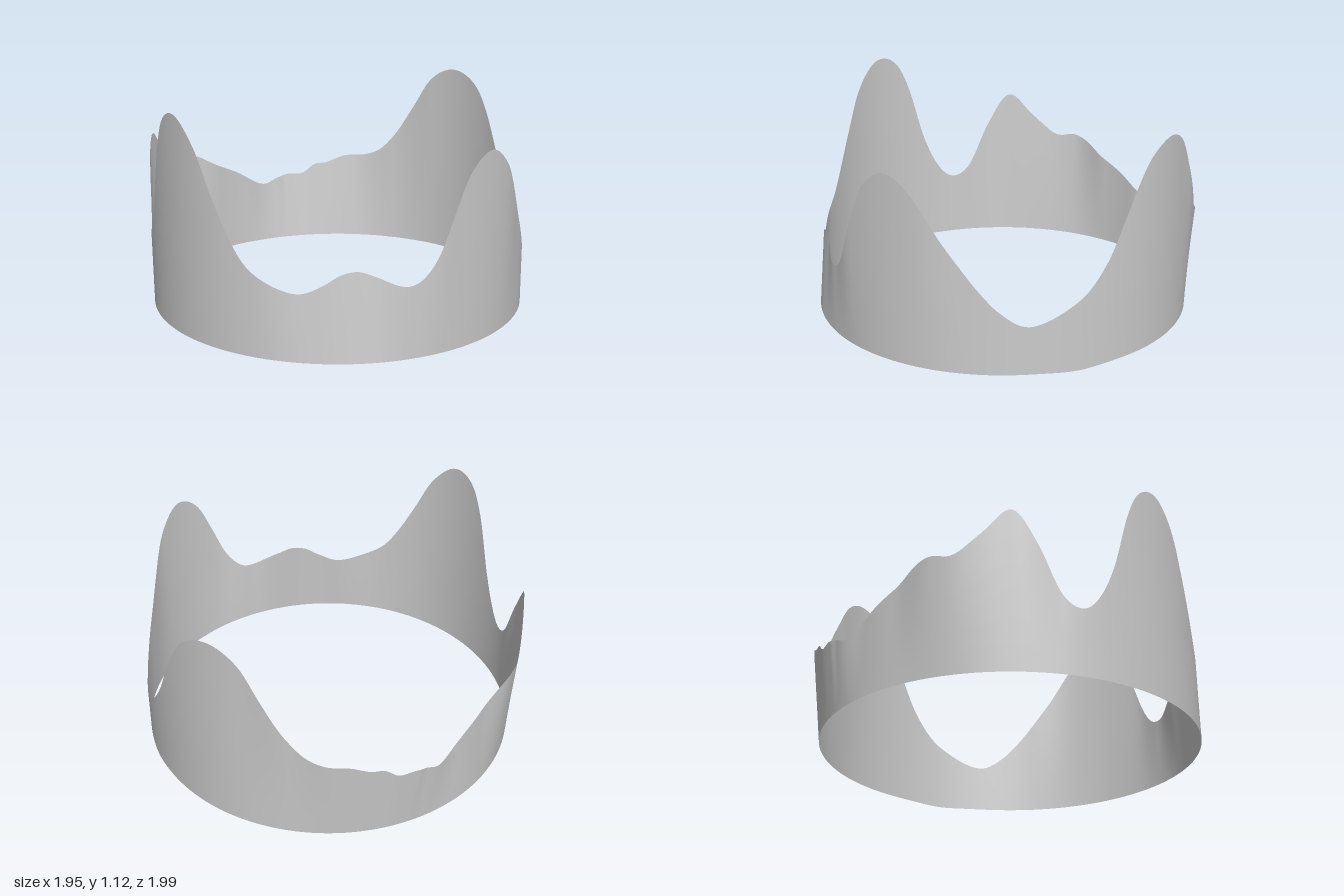
import * as THREE from 'three';

// Rim profile: [degrees around from the front toward +x, height]
const RIM = [
  [-180, .37], [-175, .345], [-164, .45], [-155, .525], [-149, .585], [-144, .61], [-138, .6],
  [-130, .71], [-122, .83], [-115, .66], [-108, .41], [-102, .355], [-97, .43], [-92, .61],
  [-86.5, .92], [-82, 1.07], [-74, 1.12], [-65, .98], [-59, .78], [-53, .59], [-48, .47],
  [-41, .39], [-32, .345], [-25, .39], [-20, .44], [-15, .455], [-10, .43], [-1, .375],
  [3.5, .4], [8, .5], [13, .7], [18, .875], [26.5, .975], [35, .885], [44, .655], [54, .43],
  [60, .325], [67.5, .258], [81, .35], [86, .42], [92, .56], [97, .73], [102, .89], [107, 1],
  [117, 1.067], [126, .99], [132.5, .82], [139, .645], [144.5, .54], [150, .497], [157, .485],
  [163, .445], [167, .435], [171, .385], [176, .385], [180, .37],
];

// How far the rim leans out (+) or in (-): [degrees, offset]
const LEAN = [
  [-180, .035], [-168, .005], [-157, .005], [-144, .05], [-122, .035], [-108, .005], [-75, 0],
  [-45, -.005], [-28, -.03], [-13, -.043], [0, -.005], [12, .02], [35, .02], [50, 0], [125, .005],
  [140, .025], [154, .05], [166, .045], [177, .045], [180, .035],
];

const RADIUS = .97, CENTER_Z = .02, STEPS = 440, ROWS = 6;

function leanAt(deg) {
  const i = Math.max(1, LEAN.findIndex(p => p[0] >= deg));
  const [a, u] = LEAN[i - 1], [b, v] = LEAN[i];
  return u + (v - u) * THREE.MathUtils.smoothstep(deg, a, b);
}

// Closed thin band whose upper edge follows the rim profile
function bandGeometry() {
  const rim = new THREE.CatmullRomCurve3(RIM.map(([a, h]) => new THREE.Vector3(a, h, 0)));
  const pos = [], index = [], n = ROWS + 1;
  for (let i = 0; i < STEPS; i++) {
    const { x: deg, y: top } = rim.getPoint(i / STEPS);
    const a = THREE.MathUtils.degToRad(deg), lean = leanAt(deg);
    const base = .01 - .01 * Math.exp(-(((deg - 82) / 8) ** 2));
    for (let j = 0; j < n; j++) {
      const t = j / ROWS, r = RADIUS + lean * t;
      pos.push(r * Math.sin(a), base + (top - base) * t, CENTER_Z + r * Math.cos(a));
    }
    const p = i * n, q = ((i + 1) % STEPS) * n;
    for (let j = 0; j < ROWS; j++) index.push(p + j, q + j, q + j + 1, p + j, q + j + 1, p + j + 1);
  }
  const g = new THREE.BufferGeometry();
  g.setAttribute('position', new THREE.Float32BufferAttribute(pos, 3));
  g.setIndex(index);
  g.computeVertexNormals();
  return g;
}

export function createModel() {
  const group = new THREE.Group();
  group.name = 'wavyRing';
  const band = new THREE.Mesh(
    bandGeometry(),
    new THREE.MeshStandardMaterial({ color: 0xcccccc, side: THREE.DoubleSide })
  );
  band.name = 'wavyBand';
  group.add(band);
  return group;
}
